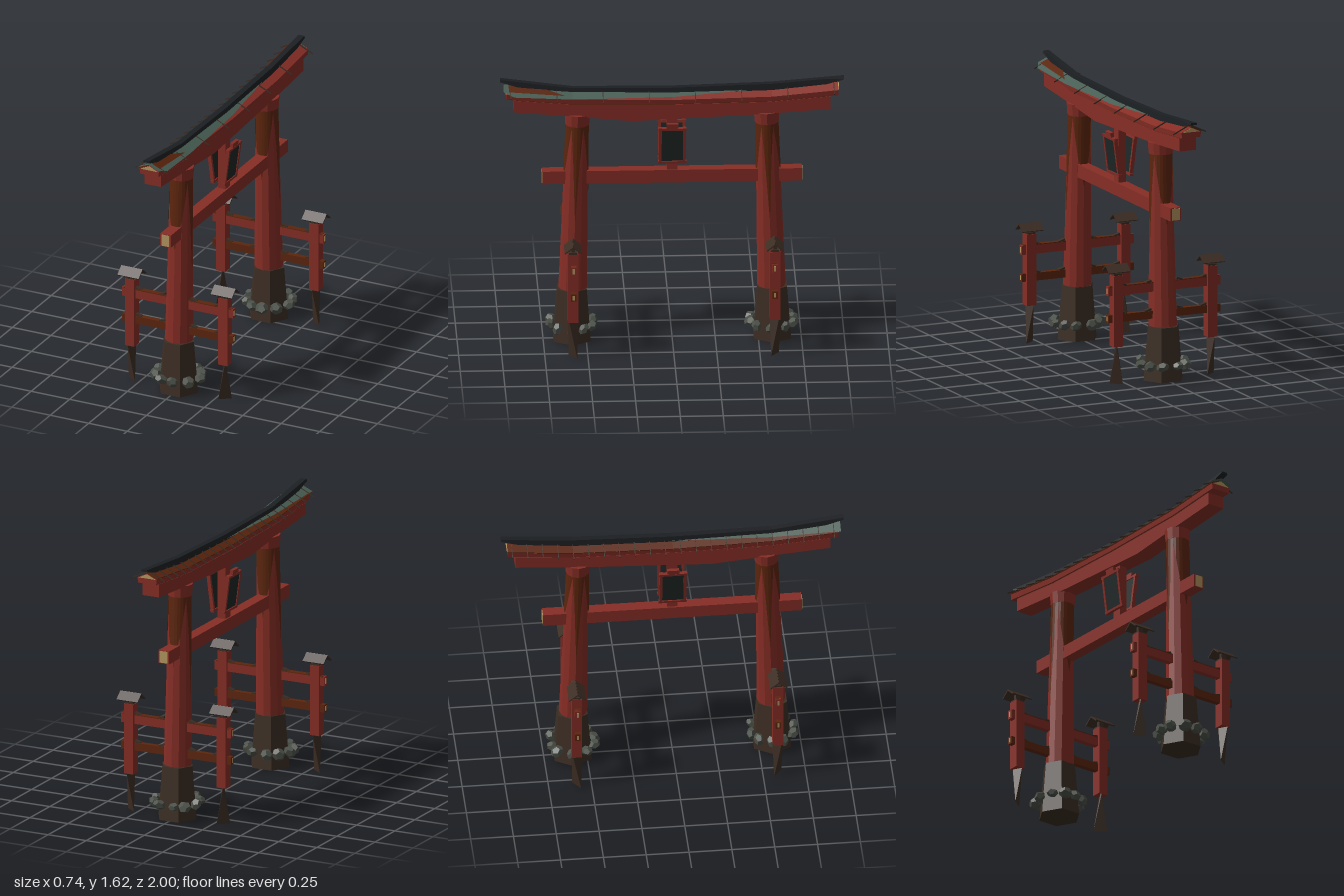
import * as THREE from 'three';
import { ConvexGeometry } from 'three/addons/geometries/ConvexGeometry.js';

const mat = (name, color, extra = {}) => {
  const m = new THREE.MeshStandardMaterial({ color, flatShading: true, ...extra });
  m.name = name;
  return m;
};
const open = { side: THREE.DoubleSide };

// piecewise-linear curve through [z, value] points, z ascending
const curve = (pts) => (z) => {
  let i = 0;
  while (i < pts.length - 2 && z > pts[i + 1][0]) i++;
  const [a, b] = [pts[i], pts[i + 1]];
  return a[1] + ((b[1] - a[1]) * (z - a[0])) / (b[0] - a[0]);
};

function fromTriangles(pos) {
  const g = new THREE.BufferGeometry();
  g.setAttribute('position', new THREE.Float32BufferAttribute(pos.flat(), 3));
  g.computeVertexNormals();
  return g;
}

// closed loft along z; section(z) gives a convex counter-clockwise [x, y] outline
function loft(zs, section) {
  const rings = zs.map((z) => section(z).map(([x, y]) => [x, y, z]));
  const n = rings[0].length, pos = [];
  for (let k = 0; k < rings.length - 1; k++)
    for (let i = 0; i < n; i++) {
      const j = (i + 1) % n, A = rings[k], B = rings[k + 1];
      pos.push(A[i], A[j], B[j], A[i], B[j], B[i]);
    }
  const first = rings[0], last = rings[rings.length - 1];
  for (let i = 1; i < n - 1; i++) {
    pos.push(last[0], last[i], last[i + 1]);
    pos.push(first[0], first[i + 1], first[i]);
  }
  return fromTriangles(pos);
}

export function createModel() {
  const red = mat('vermilionPaint', 0x862d25);
  const stain = mat('weatheredBrown', 0x5c250d, open);
  const base = mat('darkWood', 0x3c2d23);
  const black = mat('blackRidge', 0x1c1f22);
  const green = mat('agedCopper', 0x485e54, open);
  const stone = mat('mossyStone', 0x4b5048);
  const cut = mat('cutTimber', 0xb4955f);
  const board = mat('plaqueBoard', 0x1e2726);

  const model = new THREE.Group();
  model.name = 'gate';
  const add = (parent, name, geo, m, x = 0, y = 0, z = 0) => {
    const mesh = new THREE.Mesh(geo, m);
    mesh.name = name;
    mesh.position.set(x, y, z);
    parent.add(mesh);
    return mesh;
  };
  const box = (p, name, m, w, h, d, x, y, z) => add(p, name, new THREE.BoxGeometry(w, h, d), m, x, y, z);

  // seeded values for the stones
  let seed = 7;
  const rnd = () => (seed = (seed * 16807) % 2147483647) / 2147483647;

  // stain lower edge every 15 degrees over half a turn
  const drip = [0.9, 1.02, 1.08, 1.2, 1.33, 1.1, 0.74, 1.12, 1.33, 1.22, 1.1, 1.04, 0.92];
  const radius = (y) => 0.083 - ((y - 0.32) / 1.01) * 0.018;

  for (const s of [1, -1]) {
    // leaning pillar with its weathering
    const side = new THREE.Group();
    side.name = s > 0 ? 'frontSupport' : 'backSupport';
    model.add(side);
    const pillar = new THREE.Group();
    pillar.name = 'pillar';
    pillar.position.z = s * 0.586;
    pillar.rotation.x = -s * 0.026;
    side.add(pillar);
    add(pillar, 'shaft', new THREE.CylinderGeometry(0.065, 0.083, 1.03, 12), red, 0, 0.835, 0);
    add(pillar, 'capital', new THREE.CylinderGeometry(0.075, 0.07, 0.07, 12), red, 0, 1.375, 0);
    const pos = [];
    const at = (i, y) => {
      const a = (i * Math.PI) / 12, r = radius(y) + 0.003;
      return [Math.sin(a) * r, y, Math.cos(a) * r];
    };
    for (let i = 0; i < 24; i++) {
      const lo = (k) => drip[k <= 12 ? k : 24 - k];
      const [a, b, c, d] = [at(i, lo(i)), at(i + 1, lo(i + 1)), at(i + 1, 1.34), at(i, 1.34)];
      pos.push(a, b, c, a, c, d);
    }
    add(pillar, 'shaftWeathering', fromTriangles(pos), stain);

    // six-sided footing sleeve
    const foot = new THREE.CylinderGeometry(0.098, 0.125, 0.32, 6);
    foot.rotateY(Math.PI / 2);
    add(side, 'footing', foot, base, 0, 0.16, s * 0.582);

    // ring of stones around the footing
    for (let i = 0; i < 10; i++) {
      const a = ((i + 0.3 * rnd()) / 10) * Math.PI * 2, r = 0.125 + 0.015 * rnd();
      const rock = add(side, 'stone', new THREE.DodecahedronGeometry(0.033 + 0.008 * rnd(), 0), stone,
        Math.cos(a) * r, 0.097, s * 0.582 + Math.sin(a) * r);
      rock.scale.set(1, 0.75, 1);
      rock.rotation.set(rnd() * 3, rnd() * 6, rnd() * 0.4);
    }

    // side rails with wedges
    for (const [y, h, m] of [[0.557, 0.055, red], [0.392, 0.046, stain]]) {
      box(side, 'rail', m, 0.72, h, 0.032, 0, y, s * 0.585);
      for (const x of [-1, 1]) {
        box(side, 'railEnd', cut, 0.004, h * 0.6, 0.012, x * 0.36, y, s * 0.585);
        for (const wx of [0.1, 0.258]) {
          const w = box(side, 'railWedge', base, 0.04, 0.012, 0.026, x * wx, y + h / 2 + 0.004, s * 0.585);
          w.rotation.z = x * (wx < 0.2 ? -0.3 : 0.3);
        }
      }
    }
    box(side, 'upperRailWeathering', stain, 0.7, 0.005, 0.034, 0, 0.584, s * 0.585);

    // outer posts with a small gabled cap and a twisted foot
    for (const x of [1, -1]) {
      const post = new THREE.Group();
      post.name = 'outerPost';
      post.position.set(x * 0.303, 0, s * 0.587);
      side.add(post);
      box(post, 'postShaft', red, 0.06, 0.425, 0.06, 0, 0.4375, 0);
      box(post, 'postTop', base, 0.052, 0.012, 0.052, 0, 0.655, 0);
      for (const f of [1, -1]) {
        const leaf = box(post, 'capRoof', base, 0.138, 0.007, 0.064, 0, 0.692, f * 0.024);
        leaf.rotation.x = f * 0.68;
      }
      box(post, 'capStem', base, 0.03, 0.04, 0.02, 0, 0.675, 0);
      const t = s * x, v = (a, b, c) => new THREE.Vector3(a, b, c);
      add(post, 'postFoot', new ConvexGeometry([
        v(0.012, 0.225, 0.03 * t), v(-0.012, 0.225, -0.03 * t),
        v(0.016, 0.225, 0.022 * t), v(-0.016, 0.225, -0.022 * t),
        v(0.032, 0, -0.024 * t), v(-0.032, 0, 0.024 * t),
      ]), base);
    }
  }

  // tie beam with exposed ends
  box(model, 'tieBeam', red, 0.07, 0.078, 1.51, 0, 1.015, 0);
  for (const s of [1, -1]) box(model, 'tieBeamEnd', cut, 0.05, 0.07, 0.005, 0, 1.015, s * 0.756);

  // centre post carrying two outward-leaning plaques
  box(model, 'centrePost', red, 0.05, 0.33, 0.062, 0, 1.215, 0);
  for (const s of [1, -1]) {
    const plaque = new THREE.Group();
    plaque.name = 'plaque';
    plaque.position.set(s * 0.05, 1.215, 0);
    plaque.rotation.z = -s * 0.13;
    model.add(plaque);
    box(plaque, 'plaqueBoard', board, 0.012, 0.2, 0.13, 0, 0, 0);
    for (const f of [1, -1]) {
      box(plaque, 'plaqueFrameSide', red, 0.022, 0.235, 0.016, 0, 0, f * 0.07);
      box(plaque, 'plaqueFrameRail', red, 0.022, 0.014, 0.165, 0, f * 0.108, 0);
    }
    box(plaque, 'plaqueCrest', red, 0.02, 0.03, 0.07, 0, 0.128, 0);
  }

  // curved lower and upper lintels
  const lowBottom = curve([[-0.92, 1.43], [-0.57, 1.405], [0.23, 1.37], [0.58, 1.405], [0.92, 1.435]]);
  const seat = curve([[-0.965, 1.517], [-0.58, 1.485], [0, 1.477], [0.58, 1.485], [0.965, 1.517]]);
  const eave = curve([[-0.965, 1.55], [-0.58, 1.515], [0, 1.503], [0.58, 1.515], [0.965, 1.55]]);
  const apex = (z) => eave(z) + 0.028;
  const rect = (w, lo, hi, wTop = w) => (z) => [[-w, lo(z)], [w, lo(z)], [wTop, hi(z)], [-wTop, hi(z)]];
  add(model, 'lowerLintel', loft([-0.92, -0.57, 0, 0.23, 0.58, 0.92],
    rect(0.053, lowBottom, (z) => seat(z) - 0.006)), red);
  add(model, 'lintelGap', loft([-0.91, -0.58, 0, 0.58, 0.91],
    rect(0.05, (z) => seat(z) - 0.008, (z) => seat(z) + 0.002)), stain);
  const zs = [-0.965, -0.58, 0, 0.58, 0.965];
  add(model, 'upperLintel', loft(zs, (z) => [[-0.059, seat(z)], [0.059, seat(z)],
    [0.063, eave(z)], [0, apex(z)], [-0.063, eave(z)]]), red);
  for (const s of [-1, 1])
    add(model, 'gableEnd', loft([s * 0.966 - 0.003, s * 0.966 + 0.003], (z) =>
      [[-0.056, eave(z)], [0.056, eave(z)], [0, apex(z) - 0.002]]), cut);

  // bare roof boards on the right slope
  add(model, 'roofBoards', loft(zs, (z) => [[-0.064, eave(z) + 0.001], [0, apex(z) + 0.001],
    [0, apex(z) + 0.006], [-0.066, eave(z) + 0.006]]), stain);

  // thin roof ribs reaching past the eaves
  for (let i = 0; i < 22; i++) {
    const z = -0.94 + i * 0.0895;
    for (const s of i % 3 ? [-1] : [-1, 1]) {
      const rib = box(model, 'roofRib', base, 0.115, 0.007, 0.004, s * 0.052, apex(z) - 0.012, z);
      rib.rotation.z = -s * 0.44;
    }
  }

  // remaining copper sheet, widest at the front end
  const sheet = [[-0.45, -0.012, 0.022], [0, -0.022, 0.055], [0.58, -0.046, 0.078], [0.92, -0.062, 0.094], [0.98, -0.068, 0.06]];
  const pos = [];
  const on = (x, z, lift = 0.012) => [x, apex(z) + lift - Math.abs(x) * 0.44, z];
  for (let i = 0; i < sheet.length - 1; i++) {
    const [z0, l0, r0] = sheet[i], [z1, l1, r1] = sheet[i + 1];
    for (const [a, b, c, d] of [[l0, 0, 0, l1], [0, r0, r1, 0]])
      pos.push(on(a, z0), on(d, z1), on(c, z1), on(a, z0), on(c, z1), on(b, z0));
  }
  add(model, 'copperRoof', fromTriangles(pos), green);
  const P = [on(0.06, 0.62, 0.016), on(0.004, 0.78, 0.016), on(0.004, 0.95, 0.016), on(0.062, 0.95, 0.016)];
  add(model, 'exposedPatch', fromTriangles([P[0], P[1], P[2], P[0], P[2], P[3]]), stain);

  // black ridge sweeping up to thin tips
  const ridgeTop = curve([[-1, 1.612], [-0.58, 1.578], [0, 1.562], [0.58, 1.568], [1, 1.625]]);
  const ridgeLow = curve([[-1, 1.6], [-0.9, 1.572], [-0.58, 1.54], [0, 1.528], [0.58, 1.54], [0.9, 1.58], [1, 1.612]]);
  add(model, 'ridge', loft([-1, -0.9, -0.58, 0, 0.58, 0.9, 1], rect(0.022, ridgeLow, ridgeTop, 0.018)), black);
  return model;
}
